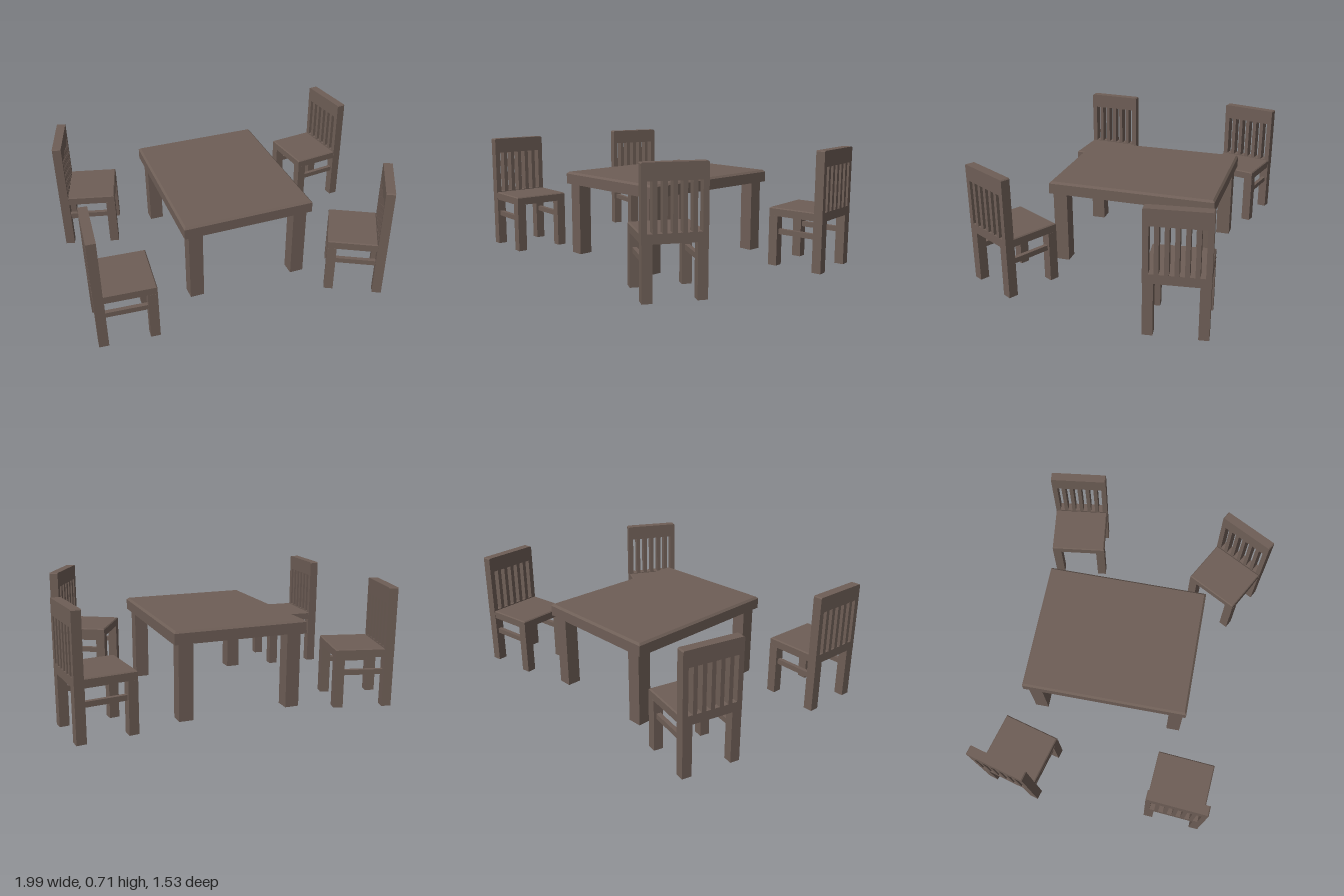
import * as THREE from 'three';

const wood = new THREE.MeshStandardMaterial({ color: 0x6e5e56 });
wood.name = 'brownWood';

function add(parent, name, geometry, x, y, z) {
  const mesh = new THREE.Mesh(geometry, wood);
  mesh.name = name;
  mesh.position.set(x, y, z);
  parent.add(mesh);
  return mesh;
}

// Box standing on y = 0 whose top edges are chamfered by c
function slab(w, h, d, c) {
  const geometry = new THREE.BoxGeometry(w, h, d, 1, 2, 1);
  geometry.translate(0, h / 2, 0);
  const p = geometry.attributes.position;
  for (let i = 0; i < p.count; i++) {
    const x = p.getX(i), y = p.getY(i), z = p.getZ(i);
    if (y > h * 0.75) p.setXYZ(i, x - Math.sign(x) * c, y, z - Math.sign(z) * c);
    else if (y > h * 0.25) p.setY(i, h - c);
  }
  const flat = geometry.toNonIndexed();
  flat.computeVertexNormals();
  return flat;
}

// Closed outline from corner points
function outline(PathClass, points) {
  return new PathClass(points.map(([x, y]) => new THREE.Vector2(x, y)));
}

function createTable() {
  const table = new THREE.Group();
  table.name = 'table';
  add(table, 'tableTop', slab(0.8, 0.075, 1, 0.012), 0, 0.452, 0);
  const leg = new THREE.BoxGeometry(0.085, 0.45, 0.085);
  for (const sx of [-1, 1])
    for (const sz of [-1, 1]) add(table, 'tableLeg', leg, sx * 0.33, 0.229, sz * 0.442);
  table.position.set(-0.015, 0, -0.1);
  return table;
}

// Chair facing local +x, with its back rest at -x
function createChair() {
  const chair = new THREE.Group();
  chair.name = 'chair';
  const depth = 0.348, width = 0.35, thick = 0.054, leg = 0.056;
  const seatY = 0.304, top = 0.713;

  // Seat in front of the back rest
  add(chair, 'seat', slab(depth - thick, 0.05, width - 0.004, 0.006), thick / 2, seatY, 0);

  // Back rest with six upright slots
  const h = width / 2, c = 0.006;
  const shape = outline(THREE.Shape, [
    [-h, seatY], [h, seatY], [h, top - c], [h - c, top], [c - h, top], [-h, top - c],
  ]);
  for (let i = 0; i < 6; i++) {
    const mid = (i - 2.5) * 0.052, s = 0.014;
    shape.holes.push(outline(THREE.Path, [
      [mid - s, 0.357], [mid - s, 0.62], [mid + s, 0.62], [mid + s, 0.357],
    ]));
  }
  const back = new THREE.ExtrudeGeometry(shape, { depth: thick, bevelEnabled: false });
  back.rotateY(Math.PI / 2);
  add(chair, 'backRest', back, -depth / 2, 0, 0);

  // Legs, and a rung along each side
  const legGeometry = new THREE.BoxGeometry(leg, seatY, leg);
  const rung = new THREE.BoxGeometry(depth - 2 * leg, 0.031, 0.025);
  for (const sz of [-1, 1]) {
    const z = sz * (width - leg - 0.002) / 2;
    for (const sx of [-1, 1])
      add(chair, sx > 0 ? 'frontLeg' : 'backLeg', legGeometry, sx * (depth - leg) / 2, seatY / 2, z);
    add(chair, 'sideRung', rung, 0, 0.209, z);
  }
  return chair;
}

export function createModel() {
  const model = new THREE.Group();
  model.name = 'diningSet';
  model.add(createTable());

  // Four chairs placed loosely around the table: x, z, turn in degrees
  for (const [x, z, turn] of [
    [-0.782, -0.556, -14.6],
    [-0.807, 0.438, -4.2],
    [0.802, -0.511, 187.2],
    [0.639, 0.519, 151.2],
  ]) {
    const chair = createChair();
    chair.position.set(x, 0, z);
    chair.rotation.y = THREE.MathUtils.degToRad(turn);
    model.add(chair);
  }
  return model;
}
